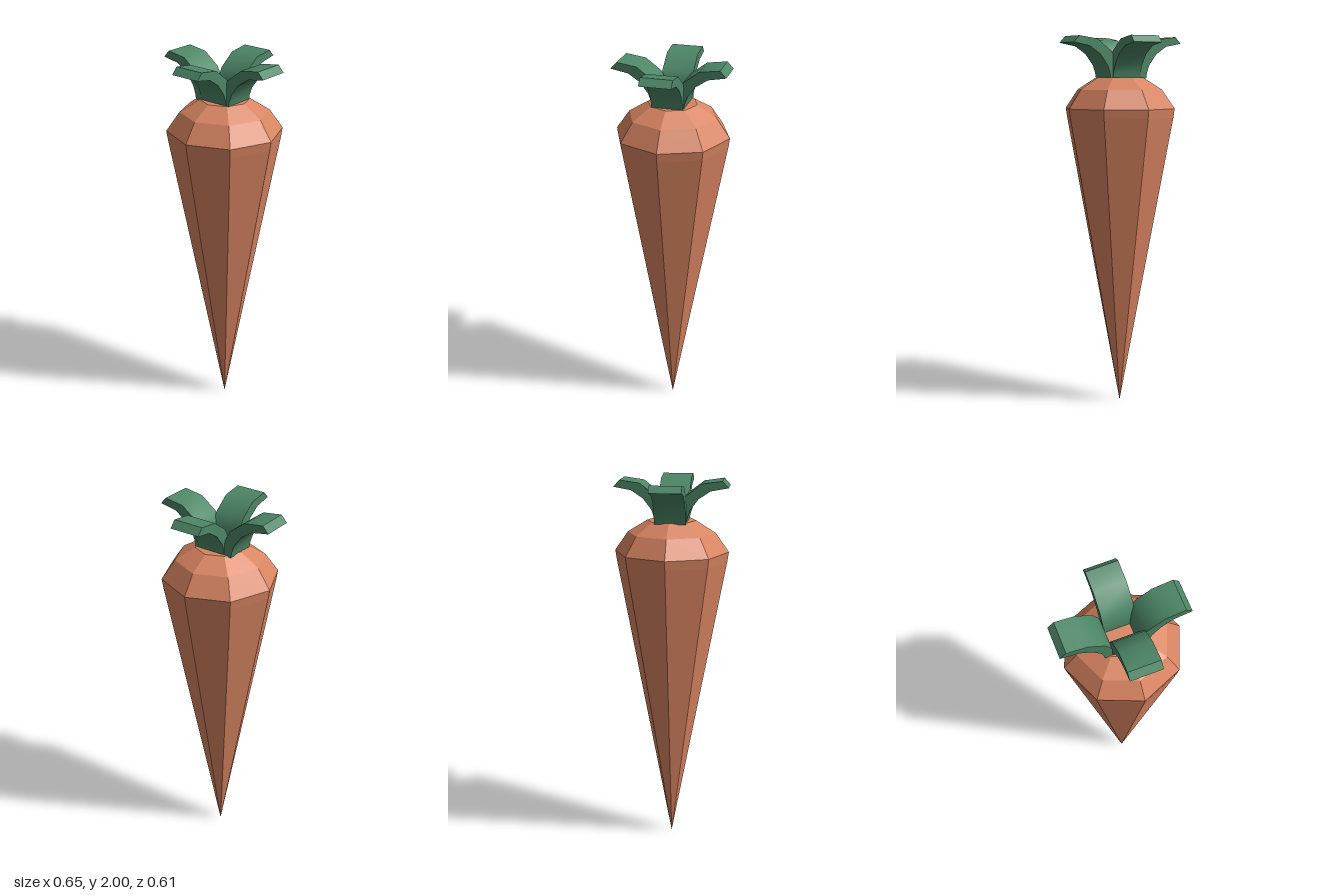
import * as THREE from 'three';
import { toCreasedNormals } from 'three/addons/utils/BufferGeometryUtils.js';

const CENTER_X = 0.012;
const LEAF_WIDTH = 0.164;

// Curved strip: side outline in (outward, up), extruded across its width
function leafGeometry() {
  const outline = [
    [0.108, 1.78], [0.113, 1.81], [0.127, 1.85], [0.17, 1.907], [0.232, 1.948], [0.324, 1.965],
    [0.292, 2.0], [0.187, 1.985], [0.103, 1.922], [0.073, 1.865], [0.064, 1.81], [0.063, 1.78],
  ].map(([x, y]) => new THREE.Vector2(x, y));
  const geometry = new THREE.ExtrudeGeometry(new THREE.Shape(outline), { depth: LEAF_WIDTH, bevelEnabled: false });
  geometry.translate(0, 0, -LEAF_WIDTH / 2);
  return toCreasedNormals(geometry, 0.75);
}

export function createModel() {
  const model = new THREE.Group();
  model.name = 'carrot';
  const rootMaterial = new THREE.MeshStandardMaterial({ color: 0xd98562, flatShading: true });
  const leafMaterial = new THREE.MeshStandardMaterial({ color: 0x4d8767 });

  // Eight-sided tapering root with a domed shoulder and flat top
  const profile = [[0, 0], [0.296, 1.575], [0.303, 1.622], [0.233, 1.722], [0.129, 1.786], [0, 1.786]]
    .map(([r, y]) => new THREE.Vector2(r, y));
  const root = new THREE.Mesh(new THREE.LatheGeometry(profile, 8), rootMaterial);
  root.name = 'root';
  root.position.x = CENTER_X;
  model.add(root);

  // Four leaves: the side pair sits slightly further out than the front and back pair
  const geometry = leafGeometry();
  const names = ['leftLeaf', 'backLeaf', 'rightLeaf', 'frontLeaf'];
  names.forEach((name, i) => {
    const leaf = new THREE.Mesh(geometry, leafMaterial);
    leaf.name = name;
    leaf.rotation.y = i * Math.PI / 2;
    if (i % 2) leaf.position.set(CENTER_X, 0, 0.004 + (i === 1 ? 0.026 : -0.026));
    else leaf.position.set(0, 0, 0.004);
    model.add(leaf);
  });
  return model;
}
